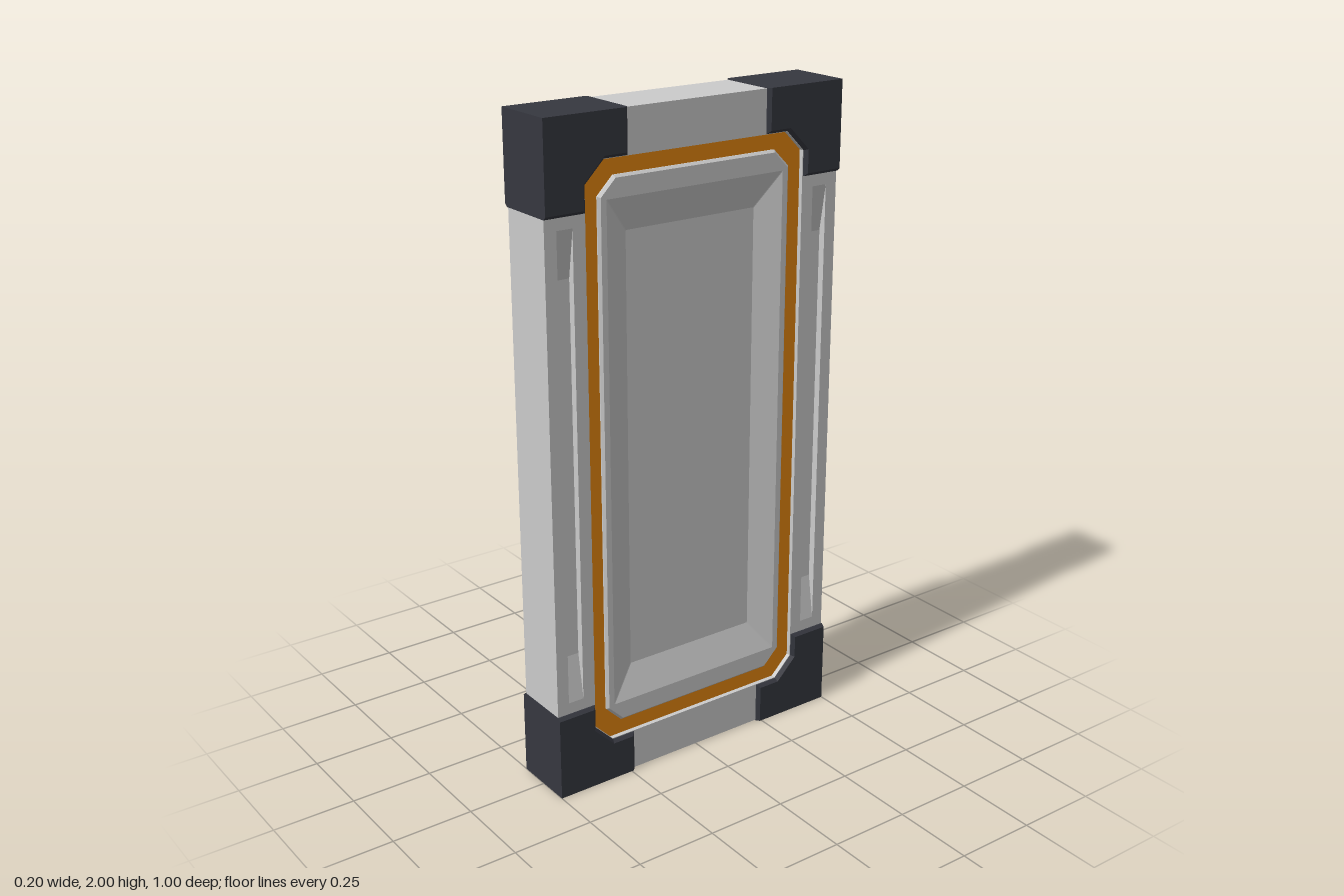
import * as THREE from 'three';

const material = (color) => new THREE.MeshStandardMaterial({ color, flatShading: true });

// Chamfered rectangle outline in the (z, y) plane, centred on the origin
function octagon(hz, hy, c) {
  return [
    [hz, -hy + c], [hz, hy - c], [hz - c, hy], [-hz + c, hy],
    [-hz, hy - c], [-hz, -hy + c], [-hz + c, -hy], [hz - c, -hy],
  ].map(([z, y]) => new THREE.Vector2(z, y));
}

const rect = (z0, z1, y0, y1) =>
  [[z0, y0], [z1, y0], [z1, y1], [z0, y1]].map(([z, y]) => new THREE.Vector2(z, y));

// Extrude a (z, y) outline symmetrically through x
function slab(outline, holes, halfX, bevel = 0) {
  const shape = new THREE.Shape(outline);
  shape.holes = holes.map((h) => new THREE.Path(h));
  const depth = 2 * (halfX - bevel);
  const geo = new THREE.ExtrudeGeometry(shape, {
    depth, bevelEnabled: bevel > 0, bevelSize: bevel, bevelThickness: bevel,
    bevelOffset: -bevel, bevelSegments: 1,
  });
  return geo.translate(0, 0, -depth / 2).rotateY(-Math.PI / 2);
}

// Raised panel face with a sunken tray, lofted through chamfered rectangles
function panelGeometry() {
  const loops = [
    [0.325, 0.822, 0.052, 0.06],
    [0.325, 0.822, 0.052, 0.078],
    [0.318, 0.815, 0.048, 0.085],
    [0.3, 0.76, 0.002, 0.085],
    [0.22, 0.66, 0.002, 0.055],
  ].map(([hz, hy, c, x]) => octagon(hz, hy, c).map((p) => [x, p.y, p.x]));
  const pos = [];
  const tri = (a, b, c) => pos.push(...a, ...c, ...b);
  for (let k = 0; k < loops.length - 1; k++) {
    for (let i = 0; i < 8; i++) {
      const j = (i + 1) % 8;
      const [a, b, c, d] = [loops[k][i], loops[k][j], loops[k + 1][j], loops[k + 1][i]];
      tri(a, b, c);
      tri(a, c, d);
    }
  }
  const floor = loops[loops.length - 1];
  for (let i = 1; i < 7; i++) tri(floor[0], floor[i], floor[i + 1]);
  const geo = new THREE.BufferGeometry();
  geo.setAttribute('position', new THREE.Float32BufferAttribute(pos, 3));
  geo.computeVertexNormals();
  return geo;
}

// Corner guard: chamfered on its inner edges, square on the outer ones
function cornerGeometry() {
  const outline = [
    [0.52, 0.735], [0.52, 1.02], [0.235, 1.02], [0.235, 0.872],
    [0.31, 0.872], [0.372, 0.81], [0.372, 0.735],
  ].map(([z, y]) => new THREE.Vector2(z, y));
  const geo = slab(outline, [], 0.1, 0.009);
  const p = geo.attributes.position;
  for (let i = 0; i < p.count; i++) {
    p.setY(i, Math.min(p.getY(i), 1));
    p.setZ(i, Math.min(p.getZ(i), 0.5));
  }
  geo.computeVertexNormals();
  return geo;
}

export function createModel() {
  const model = new THREE.Group();
  model.name = 'framedPanel';
  const body = new THREE.Group();
  body.name = 'panelAssembly';
  body.position.y = 1;
  model.add(body);

  const grey = material(0xcccccc);
  const dark = material(0x363840);
  const orange = material(0xe6860f);
  const add = (name, geo, mat) => {
    const mesh = new THREE.Mesh(geo, mat);
    mesh.name = name;
    body.add(mesh);
    return mesh;
  };

  // Outer frame with the panel opening and two side slots
  const slots = [rect(0.41, 0.46, -0.7, 0.7), rect(-0.46, -0.41, -0.7, 0.7)];
  add('frame', slab(rect(-0.498, 0.498, -0.998, 0.998),
    [octagon(0.37, 0.87, 0.06), ...slots], 0.088), grey);

  // Slot floors, ramping up to the frame surface at both ends
  const ramp = new THREE.Shape([
    [0.088, -0.7], [0.066, -0.56], [0.066, 0.56], [0.088, 0.7],
    [-0.088, 0.7], [-0.066, 0.56], [-0.066, -0.56], [-0.088, -0.7],
  ].map(([x, y]) => new THREE.Vector2(x, y)));
  for (const side of [1, -1]) {
    const geo = new THREE.ExtrudeGeometry(ramp, { depth: 0.05, bevelEnabled: false });
    geo.translate(0, 0, side * 0.435 - 0.025);
    add(side > 0 ? 'frontSlotFloor' : 'backSlotFloor', geo, grey);
  }

  // Coloured trim around the panel
  add('trimRing', slab(octagon(0.37, 0.87, 0.06), [octagon(0.325, 0.822, 0.052)], 0.074), orange);

  // Panel faces on both sides
  const panel = panelGeometry();
  add('leftPanel', panel, grey);
  add('rightPanel', panel, grey).rotation.y = Math.PI;

  // Four corner guards
  const corner = cornerGeometry();
  for (const rx of [0, Math.PI]) {
    for (const ry of [0, Math.PI]) {
      add(`${rx ? 'bottom' : 'top'}${(rx > 0) !== (ry > 0) ? 'Back' : 'Front'}Corner`, corner, dark)
        .rotation.set(rx, ry, 0);
    }
  }
  return model;
}
